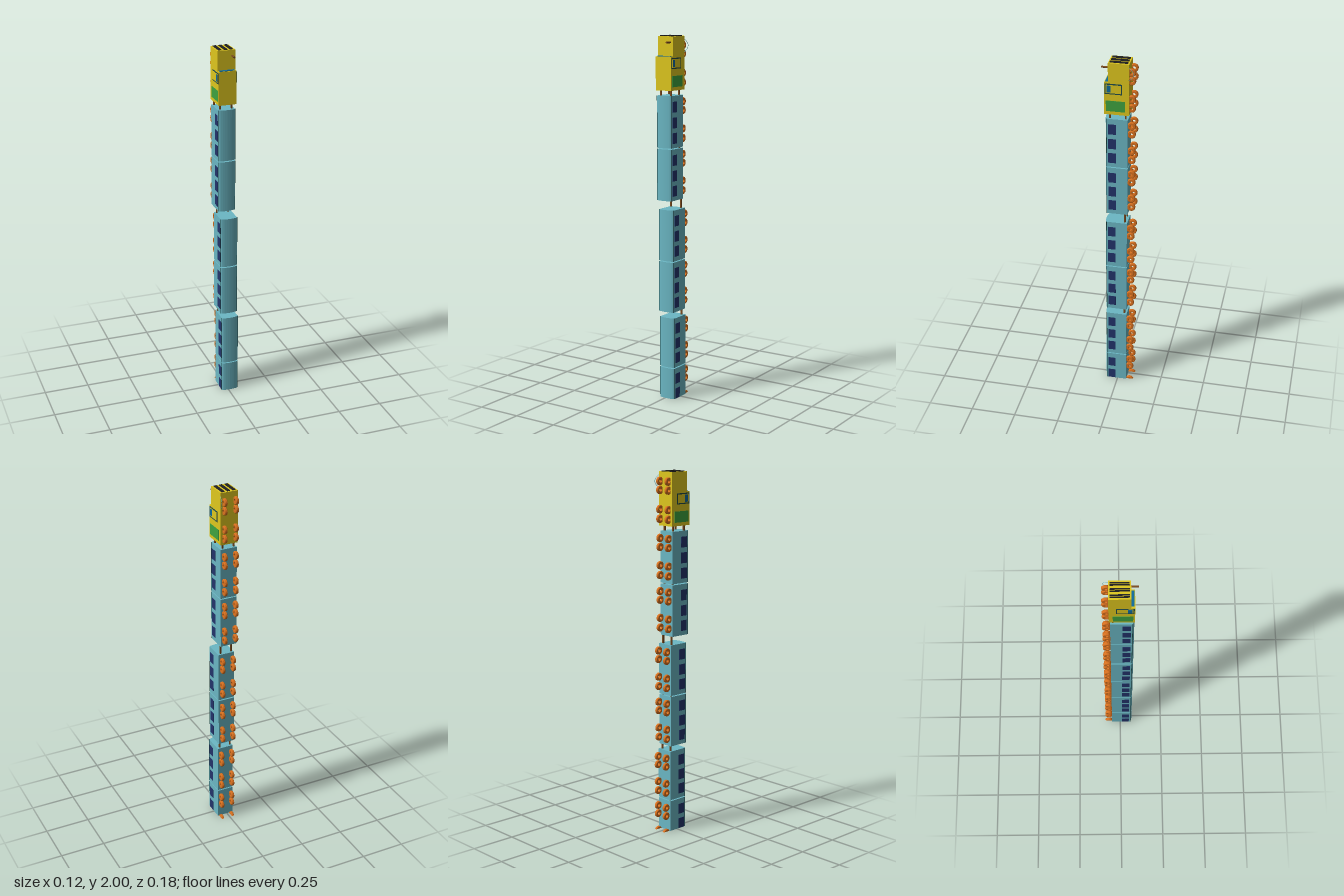
import * as THREE from 'three';

const mat = (color) => new THREE.MeshStandardMaterial({ color, flatShading: true });
const M = {
  yellow: mat(0xe0c81e), teal: mat(0x6bb7c4), navy: mat(0x22336b), orange: mat(0xd9711f),
  brown: mat(0x7a4a1e), black: mat(0x222222), blue: mat(0x0e6a9c), green: mat(0x3fa33f), frame: mat(0x1f4a48),
};

function add(parent, name, geo, material) {
  const mesh = new THREE.Mesh(geo, material);
  mesh.name = name;
  parent.add(mesh);
  return mesh;
}

// Box given by its limits on each axis
function box(parent, name, material, x0, x1, y0, y1, z0, z1) {
  const geo = new THREE.BoxGeometry(x1 - x0, y1 - y0, z1 - z0);
  geo.translate((x0 + x1) / 2, (y0 + y1) / 2, (z0 + z1) / 2);
  return add(parent, name, geo, material);
}

// Ring wheel with its axis along x, cut off at the ground
function wheel(parent, x, y) {
  const w = 0.008, R = 0.022, r = 0.009, b = 0.003;
  const profile = [[r, -w], [R - b, -w], [R, -w + b], [R, w - b], [R - b, w], [r, w], [r, -w]]
    .map(([a, h]) => new THREE.Vector2(a, h));
  const geo = new THREE.LatheGeometry(profile, 20);
  geo.rotateZ(Math.PI / 2);
  geo.translate(x, y, -0.069);
  const p = geo.attributes.position;
  for (let i = 0; i < p.count; i++) p.setY(i, Math.max(0, p.getY(i)));
  geo.computeVertexNormals();
  add(parent, 'wheel', geo, M.orange);
}

function wheels(parent, cx, ys) {
  for (const y of ys) for (const s of [-1, 1]) wheel(parent, cx + s * 0.032, y);
}

// Wagon body with a gently arched roof towards +z
function wagon(parent, cx, top, bottom) {
  const g = new THREE.Group();
  g.name = 'wagon';
  parent.add(g);
  const s = new THREE.Shape();
  s.moveTo(-0.047, 0.051);
  s.lineTo(-0.047, -0.06);
  s.quadraticCurveTo(-0.044, -0.07, 0, -0.071);
  s.quadraticCurveTo(0.044, -0.07, 0.047, -0.06);
  s.lineTo(0.047, 0.051);
  const geo = new THREE.ExtrudeGeometry(s, { depth: top - bottom, bevelEnabled: false, curveSegments: 6 });
  geo.rotateX(-Math.PI / 2);
  geo.translate(cx, bottom, 0);
  add(g, 'wagonBody', geo, M.teal);
  for (const side of [-1, 1]) {
    const x = cx + side * 0.047;
    box(g, 'roofEdge', M.frame, x - 0.001, x + 0.001, bottom, top, 0.06, 0.063);
    for (const d of [0.06, 0.145, 0.228]) {
      const y = top - d;
      if (y < 0.02) continue;
      box(g, 'window', M.navy, x - 0.0015, x + 0.0015, Math.max(0, y - 0.029), y + 0.029, 0.011, 0.053);
    }
  }
  wheels(g, cx, [0.037, 0.085, 0.184, 0.237].map((d) => top - d).filter((y) => y > -0.02));
}

function coupling(parent, cx, y0, y1, z) {
  for (const s of [-1, 1]) {
    const x = cx + s * 0.032;
    box(parent, 'coupling', M.brown, x - 0.004, x + 0.004, y0 - 0.01, y1 + 0.01, z - 0.004, z + 0.004);
  }
}

function locomotive(parent) {
  const g = new THREE.Group();
  g.name = 'locomotive';
  parent.add(g);
  const cx = -0.008, hw = 0.049;
  box(g, 'hood', M.yellow, cx - hw, cx + hw, 1.88, 1.996, -0.058, 0.052);
  box(g, 'cab', M.yellow, cx - hw, cx + hw, 1.71, 1.89, -0.058, 0.072);
  box(g, 'windshield', M.blue, cx - 0.041, cx + 0.041, 1.885, 1.893, 0.051, 0.068);

  // Nose grille: three groups of slats
  for (const gx of [-0.031, 0, 0.031]) {
    for (const o of [-0.0065, 0, 0.0065]) {
      const x = cx + gx + o;
      box(g, 'grilleSlat', M.black, x - 0.0018, x + 0.0018, 1.99, 2, -0.05, 0.045);
    }
  }

  // Side windows and panels
  for (const s of [-1, 1]) {
    const x = cx + s * hw;
    const panel = (name, m, t, y0, y1, z0, z1) => box(g, name, m, x - t, x + t, y0, y1, z0, z1);
    panel('windowFrame', M.frame, 0.002, 1.825, 1.883, -0.021, 0.069);
    panel('windowInset', M.yellow, 0.0026, 1.831, 1.877, -0.016, 0.064);
    panel('sideWindow', M.blue, 0.0032, 1.835, 1.873, 0.037, 0.058);
    panel('sidePanel', M.green, 0.002, 1.729, 1.788, -0.037, 0.063);
  }

  // Chimney
  const stack = new THREE.CylinderGeometry(0.005, 0.005, 0.05, 12);
  stack.rotateX(Math.PI / 2);
  stack.translate(0.023, 1.965, 0.064);
  add(g, 'chimney', stack, M.brown);

  // Thin curved rail beside the front wheels
  const rail = new THREE.QuadraticBezierCurve3(
    new THREE.Vector3(0.041, 1.98, -0.056), new THREE.Vector3(0.055, 1.945, -0.11), new THREE.Vector3(0.041, 1.91, -0.056));
  add(g, 'rail', new THREE.TubeGeometry(rail, 16, 0.0012, 6), M.teal);

  wheels(g, cx, [1.947, 1.9, 1.798, 1.747]);
}

export function createModel() {
  const model = new THREE.Group();
  model.name = 'train';
  locomotive(model);

  // Three wagon pairs, each a little further to the side
  const pairs = [
    { cx: -0.009, top: 1.682, mid: 1.398, end: 1.114 },
    { cx: 0.004, top: 1.065, mid: 0.779, end: 0.495 },
    { cx: 0.01, top: 0.463, mid: 0.178, end: 0 },
  ];
  let previous = 1.71;
  for (const { cx, top, mid, end } of pairs) {
    wagon(model, cx, top, mid + 0.003);
    wagon(model, cx, mid - 0.003, end);
    coupling(model, cx, mid - 0.003, mid + 0.003, -0.037);
    coupling(model, cx - 0.003, top, previous, -0.037);
    previous = end;
  }
  coupling(model, -0.009, 1.682, 1.71, 0.045);
  return model;
}
